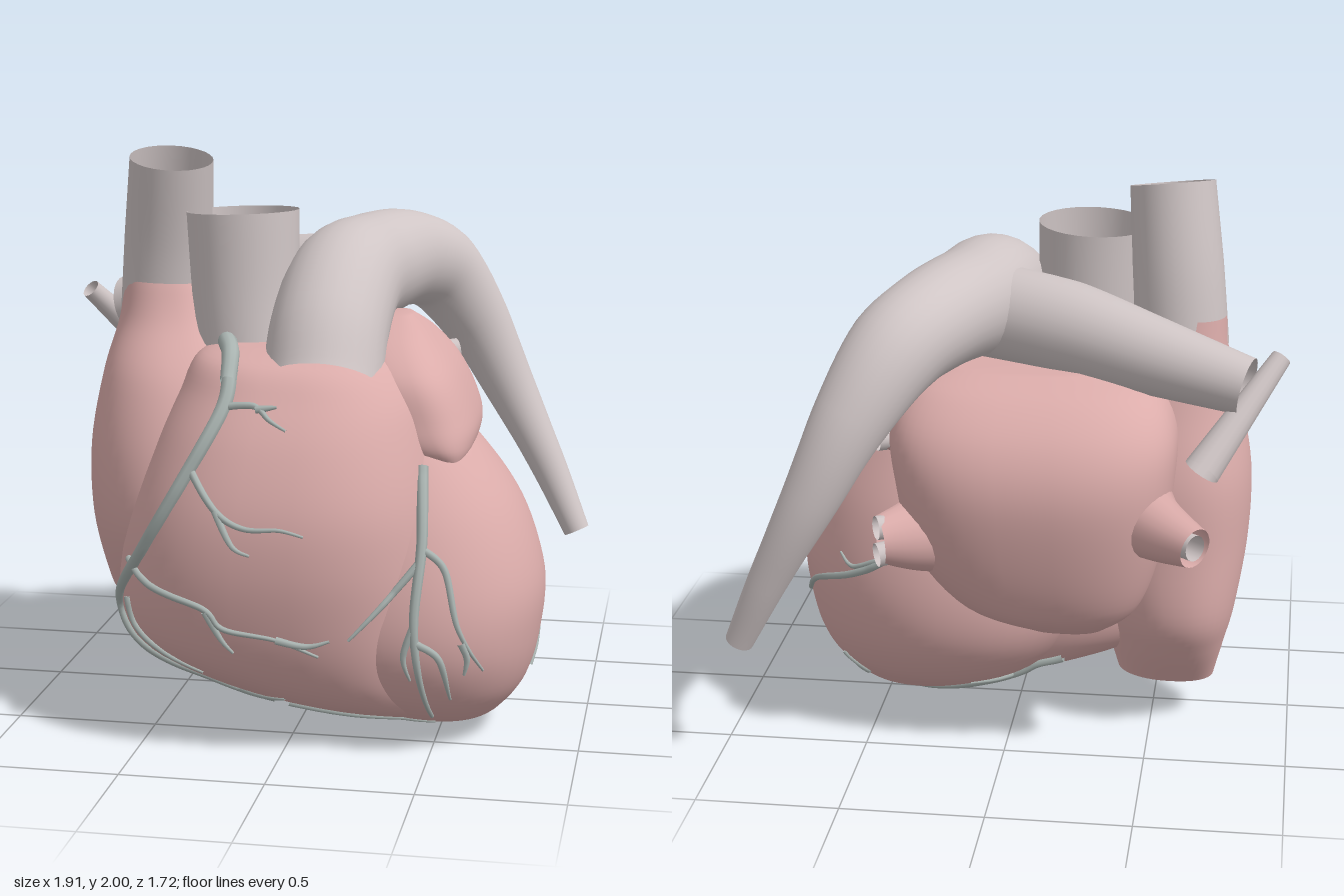
import * as THREE from 'three';

const material = (color) => new THREE.MeshStandardMaterial({ color, side: THREE.DoubleSide });
const V = (p) => new THREE.Vector3(...p);

// Smooth body through horizontal sections [y, xMin, xMax, zMin, zMax], listed bottom to top.
// Shear slides the front of each section toward +x and its back toward -x.
function loft(sections, power, shear = 0, capped = true) {
  const sides = 56, steps = (sections.length - 1) * 6;
  const columns = sections[0].map((_, k) =>
    new THREE.SplineCurve(sections.map((s, i) => new THREE.Vector2(i, s[k]))));
  const pos = [], index = [];
  const bend = (c) => Math.sign(c) * Math.abs(c) ** (2 / power);
  for (let i = 0; i <= steps; i++) {
    const [y, x0, x1, z0, z1] = columns.map((c) => c.getPoint(i / steps).y);
    for (let j = 0; j < sides; j++) {
      const a = (j / sides) * Math.PI * 2;
      const dz = (z1 - z0) / 2 * bend(Math.sin(a));
      pos.push((x0 + x1) / 2 + (x1 - x0) / 2 * bend(Math.cos(a)) + shear * dz, y, (z0 + z1) / 2 + dz);
    }
  }
  for (let i = 0; i < steps; i++) {
    for (let j = 0; j < sides; j++) {
      const a = i * sides + j, b = i * sides + (j + 1) % sides;
      index.push(a, a + sides, b, b, a + sides, b + sides);
    }
  }
  const cap = (row, s, up) => {
    const c = pos.length / 3;
    pos.push((s[1] + s[2]) / 2, s[0], (s[3] + s[4]) / 2);
    for (let j = 0; j < sides; j++) {
      const a = row * sides + j, b = row * sides + (j + 1) % sides;
      index.push(c, up ? b : a, up ? a : b);
    }
  };
  if (capped) {
    cap(0, sections[0], false);
    cap(steps, sections[sections.length - 1], true);
  }
  const g = new THREE.BufferGeometry();
  g.setAttribute('position', new THREE.Float32BufferAttribute(pos, 3));
  g.setIndex(index);
  g.computeVertexNormals();
  return g;
}

// Open tube whose radius follows a list of values spaced evenly along its length
function taperTube(points, radii, segments = 40, sides = 28) {
  const curve = new THREE.CatmullRomCurve3(points.map((p) => (p.isVector3 ? p : V(p))));
  const g = new THREE.TubeGeometry(curve, segments, 1, sides);
  const p = g.attributes.position, v = new THREE.Vector3();
  for (let i = 0; i <= segments; i++) {
    const t = i / segments, c = curve.getPointAt(t);
    const f = t * (radii.length - 1), k = Math.min(Math.floor(f), radii.length - 2);
    const r = THREE.MathUtils.lerp(radii[k], radii[k + 1], f - k);
    for (let j = 0; j <= sides; j++) {
      const n = i * (sides + 1) + j;
      v.fromBufferAttribute(p, n).sub(c).multiplyScalar(r).add(c);
      p.setXYZ(n, v.x, v.y, v.z);
    }
  }
  return g;
}

export function createModel() {
  const model = new THREE.Group();
  const muscle = material(0xdbacaa), vessel = material(0xcfc5c5), coronary = material(0xa9b3b0);
  const add = (name, geometry, mat) => {
    const mesh = new THREE.Mesh(geometry, mat);
    mesh.name = name;
    model.add(mesh);
    return mesh;
  };

  // Chambers
  const rightVentricle = add('rightVentricle', loft([
    [0.04, 0.25, 0.55, 0.08, 0.39], [0.1, -0.02, 0.58, -0.1, 0.56], [0.18, -0.32, 0.58, -0.2, 0.67],
    [0.3, -0.58, 0.57, -0.27, 0.755], [0.45, -0.65, 0.55, -0.3, 0.81], [0.65, -0.63, 0.53, -0.3, 0.845],
    [0.85, -0.58, 0.51, -0.3, 0.835], [1.05, -0.51, 0.47, -0.3, 0.765], [1.2, -0.44, 0.42, -0.26, 0.67],
    [1.31, -0.38, 0.32, -0.18, 0.57], [1.35, -0.28, 0.2, -0.05, 0.4]], 2.45), muscle);
  const leftVentricle = add('leftVentricle', loft([
    [0, 0.4, 0.55, 0.07, 0.27], [0.03, 0.25, 0.64, -0.07, 0.39], [0.09, 0.08, 0.71, -0.2, 0.53],
    [0.2, -0.11, 0.785, -0.36, 0.65], [0.36, -0.22, 0.825, -0.47, 0.72], [0.56, -0.26, 0.835, -0.49, 0.71],
    [0.8, -0.22, 0.755, -0.43, 0.63], [1, -0.06, 0.61, -0.3, 0.5], [1.12, 0.07, 0.48, -0.18, 0.38]], 2.12, 0.2), muscle);
  const rightAtrium = add('rightAtrium', loft([
    [0.15, -0.72, -0.37, -0.18, 0.09], [0.3, -0.75, -0.32, -0.29, 0.22], [0.45, -0.78, -0.24, -0.36, 0.46],
    [0.7, -0.815, -0.15, -0.36, 0.6], [0.95, -0.82, -0.14, -0.35, 0.57], [1.2, -0.78, -0.18, -0.28, 0.43],
    [1.38, -0.74, -0.33, -0.23, 0.22], [1.52, -0.73, -0.4, -0.2, 0.13]], 2.2, 0.2, false), muscle);
  add('leftAtrium', loft([
    [0.45, -0.36, -0.05, -0.48, -0.2], [0.55, -0.47, 0.17, -0.6, -0.12], [0.75, -0.54, 0.33, -0.68, -0.05],
    [1, -0.58, 0.39, -0.72, 0], [1.18, -0.58, 0.41, -0.67, 0.02], [1.31, -0.5, 0.35, -0.54, 0],
    [1.37, -0.32, 0.22, -0.38, -0.1]], 2.7), muscle);
  add('leftAuricle', loft([
    [0.97, 0.45, 0.57, 0.28, 0.45], [1.02, 0.34, 0.6, -0.03, 0.48], [1.1, 0.24, 0.6, -0.2, 0.475],
    [1.25, 0.2, 0.53, -0.22, 0.435], [1.36, 0.2, 0.43, -0.17, 0.29], [1.43, 0.24, 0.34, -0.04, 0.08]], 2.8), muscle);

  // Great vessels, all open at their ends
  add('archingTrunk', taperTube([
    [0.09, 1.22, 0.415], [0.09, 1.39, 0.3], [0.11, 1.535, 0.09], [0.16, 1.56, -0.17], [0.25, 1.56, -0.42],
    [0.35, 1.5, -0.59], [0.48, 1.3, -0.71], [0.62, 1.02, -0.76], [0.78, 0.71, -0.74], [0.9, 0.46, -0.7]],
  [0.21, 0.205, 0.19, 0.165, 0.115, 0.078, 0.05], 64), vessel);
  add('rightBranchArtery', taperTube([
    [0.12, 1.52, -0.1], [-0.2, 1.49, -0.22], [-0.5, 1.43, -0.32], [-0.82, 1.36, -0.4]],
  [0.17, 0.165, 0.135, 0.1]), vessel);
  add('upperVenaCava', taperTube([
    [-0.58, 1.4, -0.06], [-0.56, 1.65, -0.03], [-0.53, 1.96, 0.03]], [0.165, 0.16, 0.15]), vessel);
  add('aortaStump', taperTube([
    [-0.22, 1.22, 0.15], [-0.24, 1.5, 0.13], [-0.25, 1.79, 0.12]], [0.165, 0.19, 0.2]), vessel);

  // Lung veins: flared muscle collars and small open pipes
  const collars = [
    [[-0.38, 0.93, -0.4], [-0.54, 0.89, -0.56], [-0.67, 0.87, -0.67], 0.07],
    [[0.22, 1.14, -0.3], [0.35, 1.17, -0.38], [0.42, 1.18, -0.43], 0.08],
    [[0.15, 0.85, -0.43], [0.3, 0.82, -0.52], [0.42, 0.81, -0.57], 0.085]];
  for (const [a, b, c, r] of collars) {
    add('veinCollar', taperTube([a, b, c], [r * 3, r * 1.7, r], 16, 20), muscle);
  }
  const pipes = [
    [[-0.6, 0.87, -0.61], [-0.67, 0.87, -0.67], 0.045, 0.045],
    [[-0.68, 1.1, -0.54], [-0.93, 1.43, -0.28], 0.065, 0.036],
    [[0.34, 1.2, -0.38], [0.45, 1.21, -0.44], 0.045, 0.045], [[0.35, 1.13, -0.38], [0.45, 1.13, -0.44], 0.04, 0.04],
    [[0.32, 0.86, -0.53], [0.43, 0.86, -0.59], 0.042, 0.042], [[0.32, 0.77, -0.53], [0.43, 0.76, -0.59], 0.042, 0.042]];
  for (const [a, b, r0, r1] of pipes) add('lungVein', taperTube([a, b], [r0, r1], 4, 16), vessel);

  // Coronary vessels: flat paths laid onto the chamber surfaces
  const ray = new THREE.Raycaster();
  const bodies = [rightVentricle, leftVentricle, rightAtrium];
  const views = {
    front: (a, b) => [[a, b, 3], [0, 0, -1]],
    side: (a, b) => [[3, b, a], [-1, 0, 0]],
    below: (a, b) => [[a, -3, b], [0, 1, 0]],
  };
  function layVessel(view, radius, path) {
    const flat = new THREE.SplineCurve(path.map((p) => new THREE.Vector2(...p)));
    const count = path.length * 5, points = [];
    for (let i = 0; i <= count; i++) {
      const q = flat.getPoint(i / count), [from, dir] = views[view](q.x, q.y);
      ray.set(V(from), V(dir));
      const hit = ray.intersectObjects(bodies)[0];
      if (hit) points.push(hit.point.addScaledVector(V(dir), -radius * 0.3));
    }
    add('coronaryVessel', taperTube(points, [radius, radius * 0.8, radius * 0.35], count * 2, 8), coronary);
  }
  layVessel('front', 0.027, [[-0.2, 1.3], [-0.21, 1.18], [-0.33, 0.95], [-0.48, 0.7], [-0.6, 0.5],
    [-0.585, 0.38], [-0.48, 0.29], [-0.3, 0.2], [-0.05, 0.14]]);
  add('coronaryRoot', taperTube([[-0.26, 1.34, 0.3], [-0.25, 1.37, 0.4], [-0.21, 1.35, 0.52],
    [-0.2, 1.27, 0.61]], [0.03, 0.032, 0.027], 16, 12), coronary);
  const frontBranches = [
    [[-0.56, 0.5], [-0.53, 0.4], [-0.42, 0.32], [-0.28, 0.26]],
    [[-0.21, 1.19], [-0.1, 1.2], [-0.04, 1.16], [0.02, 1.13]],
    [[-0.09, 1.19], [-0.02, 1.2]],
    [[-0.31, 1], [-0.2, 0.87], [-0.1, 0.82], [0.02, 0.82], [0.1, 0.8]],
    [[-0.2, 0.87], [-0.14, 0.76], [-0.08, 0.73]],
    [[-0.55, 0.64], [-0.45, 0.58], [-0.25, 0.53], [-0.18, 0.46], [0, 0.43], [0.14, 0.37]],
    [[-0.24, 0.52], [-0.19, 0.42], [-0.15, 0.37]],
    [[0, 0.43], [0.1, 0.41], [0.18, 0.43]],
    [[-0.2, 0.17], [-0.08, 0.16], [0, 0.17]],
    [[0, 0.13], [0.15, 0.1], [0.35, 0.07], [0.5, 0.06]],
    [[0.47, 0.73], [0.55, 0.66], [0.6, 0.47], [0.68, 0.31]],
    [[0.46, 0.42], [0.54, 0.36], [0.57, 0.2]],
    [[0.46, 0.68], [0.36, 0.56], [0.24, 0.43]],
    [[0.455, 0.48], [0.42, 0.37], [0.44, 0.28]],
    [[0.61, 0.42], [0.63, 0.36], [0.62, 0.3]]];
  layVessel('front', 0.021, [[0.45, 0.98], [0.47, 0.75], [0.455, 0.5], [0.47, 0.3], [0.5, 0.11]]);
  for (const path of frontBranches) layVessel('front', 0.014, path);
  layVessel('side', 0.017, [[-0.2, 1.05], [-0.33, 0.92], [-0.4, 0.78], [-0.41, 0.67], [-0.34, 0.58],
    [-0.15, 0.48], [0, 0.38], [0.14, 0.32], [0.26, 0.22]]);
  layVessel('side', 0.012, [[-0.4, 0.66], [-0.34, 0.61], [-0.28, 0.64]]);
  layVessel('side', 0.01, [[-0.15, 0.19], [-0.14, 0.11], [-0.02, 0.08], [0.1, 0.04]]);
  layVessel('below', 0.018, [[-0.18, -0.22], [0, -0.2], [0.2, -0.13], [0.35, -0.05], [0.5, 0.06]]);
  layVessel('below', 0.012, [[0, -0.2], [0.08, -0.26], [0.15, -0.28]]);

  return model;
}
